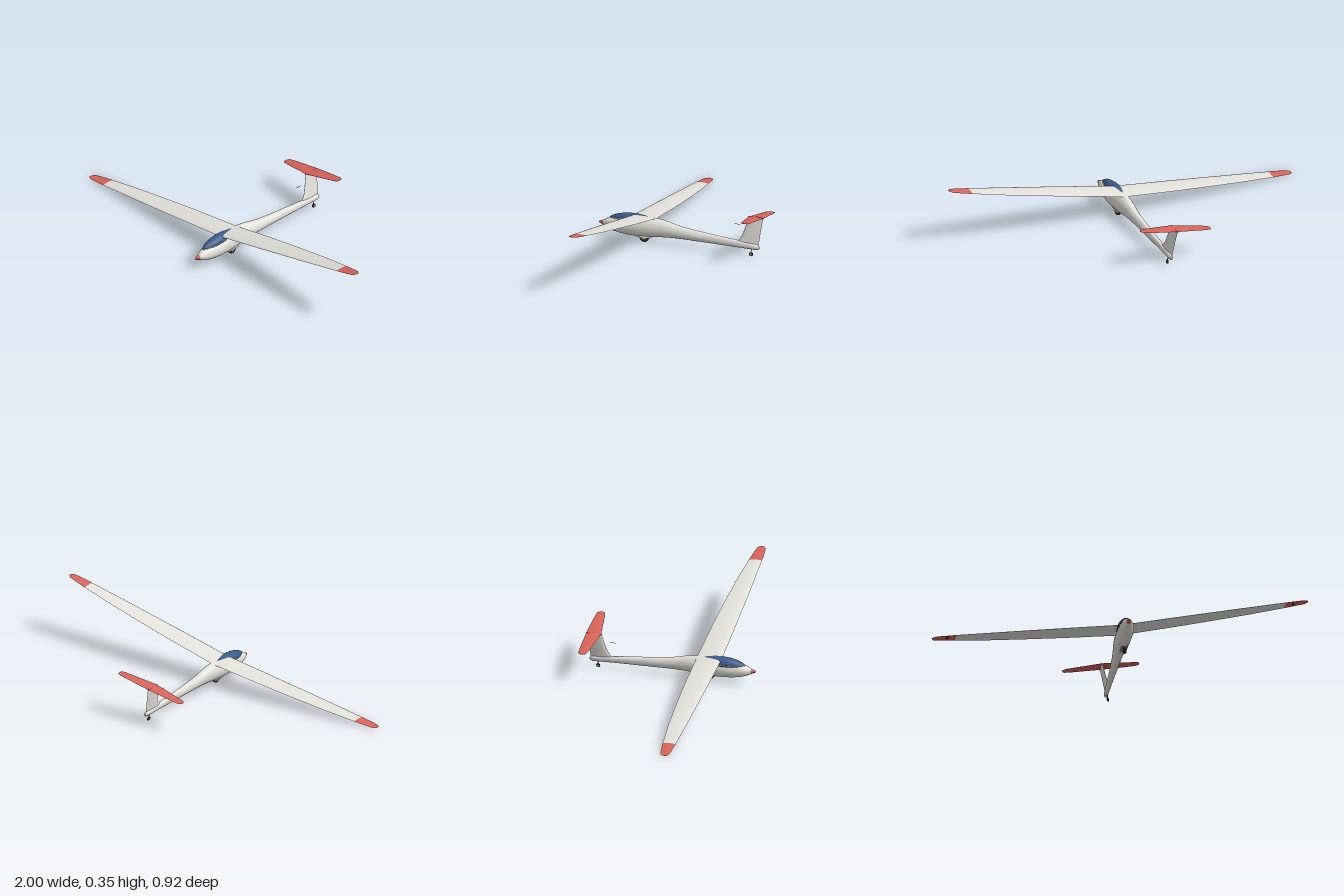
import * as THREE from 'three';
import { toCreasedNormals } from 'three/addons/utils/BufferGeometryUtils.js';

const paint = (name, color) => {
  const m = new THREE.MeshStandardMaterial({ color });
  m.name = name;
  return m;
};

// Skin closed rings of points and cap both ends, always facing outward
function loft(rings, crease = 0.8) {
  const n = rings[0].length, pts = rings.flat(), idx = [];
  for (let k = 0; k < rings.length - 1; k++) {
    for (let i = 0; i < n; i++) {
      const a = k * n + i, b = k * n + (i + 1) % n;
      idx.push(a, b, b + n, a, b + n, a + n);
    }
  }
  for (const k of [0, rings.length - 1]) {
    const c = new THREE.Vector3();
    rings[k].forEach(p => c.addScaledVector(p, 1 / n));
    pts.push(c);
    for (let i = 0; i < n; i++) {
      const a = k * n + i, b = k * n + (i + 1) % n;
      idx.push(pts.length - 1, k ? a : b, k ? b : a);
    }
  }
  let volume = 0;
  for (let i = 0; i < idx.length; i += 3) {
    volume += pts[idx[i]].dot(pts[idx[i + 1]].clone().cross(pts[idx[i + 2]]));
  }
  if (volume < 0) idx.reverse();
  const g = new THREE.BufferGeometry().setFromPoints(pts);
  g.setIndex(idx);
  return toCreasedNormals(g, crease);
}

// Elliptical body from stations [z, bottom, top, halfWidth]
function body(stations, n = 32) {
  return loft(stations.map(([z, y0, y1, w]) => Array.from({ length: n }, (_, i) => {
    const a = i / n * Math.PI * 2;
    return new THREE.Vector3(w * Math.cos(a), (y0 + y1) / 2 + (y1 - y0) / 2 * Math.sin(a), z);
  })));
}

// Flying surface from stations [span, leadingZ, trailingZ, thickness]; place(span, offset, z) gives the point
function foil(stations, place, under = 1, n = 28) {
  return loft(stations.map(([s, le, te, t]) => Array.from({ length: n }, (_, i) => {
    const a = i / n * Math.PI * 2, c = (1 - Math.cos(a)) / 2;
    const h = 1.3 * t * Math.sqrt(c) * (1 - c) * (i <= n / 2 ? 1 : -under);
    return place(s, h, le + (te - le) * c);
  })), 1.0);
}

export function createModel() {
  const white = paint('gelcoat white', 0xe4e2dc);
  const red = paint('marking red', 0xd8645a);
  const blue = paint('canopy blue', 0x3d5b8a);
  const dark = paint('rubber dark', 0x2b2b2d);
  const grey = paint('metal grey', 0x9c9c9c);

  const model = new THREE.Group();
  model.name = 'glider';
  const craft = new THREE.Group();
  craft.name = 'airframe';
  model.add(craft);
  const add = (name, geometry, material, x = 0, y = 0, z = 0) => {
    const m = new THREE.Mesh(geometry, material);
    m.name = name;
    m.position.set(x, y, z);
    craft.add(m);
    return m;
  };

  // Fuselage, with a red nose cone
  const seam = [0.435, 0.064, 0.092, 0.013];
  add('nose', body([[0.46, 0.076, 0.080, 0.002], [0.455, 0.072, 0.084, 0.006], seam]), red);
  add('fuselage', body([
    seam, [0.42, 0.055, 0.102, 0.021], [0.40, 0.048, 0.111, 0.027], [0.375, 0.040, 0.117, 0.033],
    [0.34, 0.034, 0.122, 0.038], [0.30, 0.030, 0.127, 0.040], [0.25, 0.029, 0.132, 0.040],
    [0.20, 0.030, 0.136, 0.039], [0.15, 0.033, 0.137, 0.037], [0.10, 0.039, 0.132, 0.033],
    [0.06, 0.042, 0.124, 0.029], [0.02, 0.043, 0.114, 0.026], [-0.03, 0.043, 0.106, 0.023],
    [-0.10, 0.042, 0.098, 0.020], [-0.20, 0.041, 0.089, 0.016], [-0.30, 0.040, 0.080, 0.013],
    [-0.40, 0.038, 0.071, 0.011], [-0.43, 0.037, 0.068, 0.010], [-0.440, 0.040, 0.065, 0.008],
    [-0.446, 0.046, 0.058, 0.004],
  ]), white);

  // Canopy bubble and its sill
  const canopy = [
    [0.402, 0.109, 0.113, 0.003], [0.392, 0.098, 0.120, 0.012], [0.375, 0.093, 0.129, 0.020],
    [0.35, 0.088, 0.137, 0.027], [0.32, 0.085, 0.143, 0.032], [0.28, 0.085, 0.147, 0.034],
    [0.24, 0.088, 0.146, 0.031], [0.21, 0.095, 0.143, 0.024], [0.19, 0.105, 0.140, 0.015],
    [0.178, 0.118, 0.137, 0.004],
  ];
  add('canopy', body(canopy), blue);
  const sill = side => canopy.slice(0, -1).map(([z, y0, y1, w]) =>
    new THREE.Vector3(side * w, (y0 + y1) / 2, z));
  for (const side of [1, -1]) {
    add('canopySill', new THREE.TubeGeometry(new THREE.CatmullRomCurve3(sill(side)), 40, 0.0018, 6), white);
  }

  // Wings with dihedral, red tips and small tip skids
  const inner = [
    [0, 0.276, 0.142, 0.016], [0.3, 0.274, 0.150, 0.014], [0.5, 0.271, 0.160, 0.012],
    [0.7, 0.267, 0.173, 0.010], [0.89, 0.262, 0.192, 0.007],
  ];
  const outer = [
    inner[4], [0.97, 0.258, 0.203, 0.005], [0.995, 0.255, 0.207, 0.004],
    [1.008, 0.249, 0.214, 0.003], [1.015, 0.240, 0.224, 0.002],
  ];
  for (const side of [1, -1]) {
    const name = side > 0 ? 'left' : 'right';
    const place = (s, h, z) => new THREE.Vector3(side * s, 0.133 + 0.047 * s + h, z);
    add(name + 'Wing', foil(inner, place, 0.6), white);
    add(name + 'WingTip', foil(outer, place, 0.6), red);
    const skid = add(name + 'TipSkid', new THREE.SphereGeometry(1, 14, 8), dark,
      side * 0.935, 0.133 + 0.047 * 0.935 - 0.002, 0.234);
    skid.scale.set(0.006, 0.003, 0.02);
  }

  // Fin, tailplane and the fairing joining them
  add('fin', foil([
    [0.06, -0.310, -0.440, 0.013], [0.076, -0.322, -0.441, 0.013], [0.086, -0.334, -0.443, 0.012],
    [0.105, -0.345, -0.445, 0.012], [0.15, -0.359, -0.450, 0.011], [0.21, -0.375, -0.457, 0.010],
  ], (s, h, z) => new THREE.Vector3(h, s, z)), white);
  const half = [
    [0, -0.377, -0.458, 0.008], [0.15, -0.398, -0.454, 0.006], [0.19, -0.405, -0.451, 0.005],
    [0.201, -0.410, -0.447, 0.004], [0.207, -0.420, -0.437, 0.002],
  ];
  const mirrored = half.slice(1).reverse().map(([s, ...r]) => [-s, ...r]);
  add('tailplane', foil([...mirrored, ...half], (s, h, z) => new THREE.Vector3(s, 0.211 + h, z)), red);
  const fairing = add('tailFairing', new THREE.SphereGeometry(1, 20, 12), red, 0, 0.210, -0.416);
  fairing.scale.set(0.007, 0.006, 0.046);

  // Probe ahead of the fin
  add('probe', new THREE.CylinderGeometry(0.0012, 0.0012, 0.03, 8).rotateX(Math.PI / 2), dark, 0, 0.163, -0.315);

  // Wheels lying on the centreline
  const wheel = (name, r, w, y, z) => {
    const p = [[0, -w], [r * 0.8, -w], [r * 0.95, -w * 0.7], [r, 0], [r * 0.95, w * 0.7], [r * 0.8, w], [0, w]]
      .map(q => new THREE.Vector2(...q));
    add(name + 'Tyre', toCreasedNormals(new THREE.LatheGeometry(p, 28).rotateZ(Math.PI / 2), 0.7), dark, 0, y, z);
    add(name + 'Hub', new THREE.CylinderGeometry(r * 0.52, r * 0.52, w * 2 + 0.003, 20).rotateZ(Math.PI / 2),
      grey, 0, y, z);
  };
  wheel('mainWheel', 0.027, 0.009, 0.028, 0.202);
  wheel('tailWheel', 0.011, 0.004, 0.012, -0.402);
  for (const side of [1, -1]) {
    add('wheelDoor', new THREE.BoxGeometry(0.002, 0.012, 0.075), white, side * 0.015, 0.032, 0.202);
  }
  add('tailStrut', new THREE.CylinderGeometry(0.0025, 0.0025, 0.032, 10), dark, 0, 0.029, -0.402);

  // Parked leaning over on one wing
  craft.rotation.z = 0.174;
  craft.position.set(0.031, 0.002, 0);
  return model;
}
